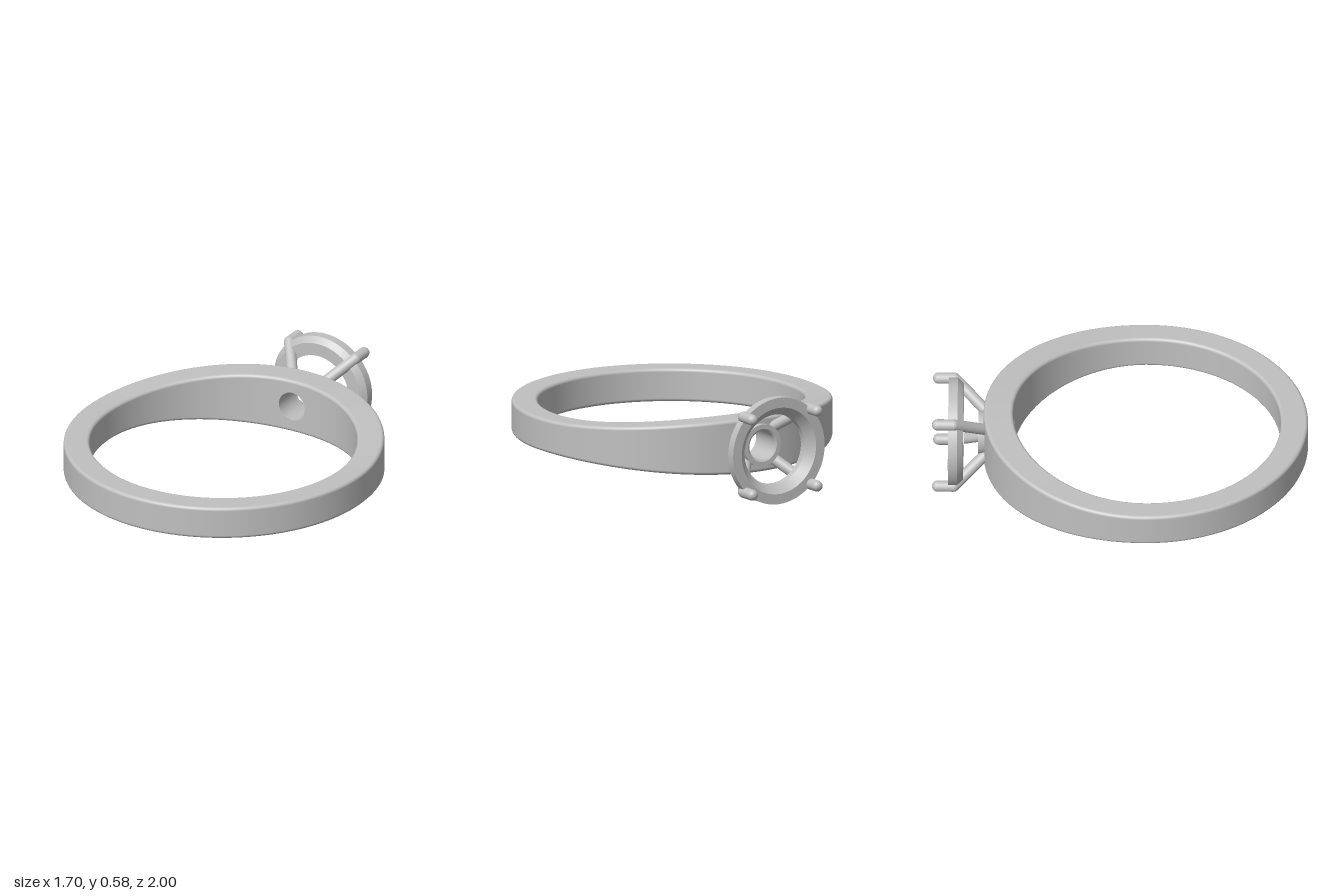
import * as THREE from 'three';
import { toCreasedNormals } from 'three/addons/utils/BufferGeometryUtils.js';
import { ParametricGeometry } from 'three/addons/geometries/ParametricGeometry.js';

const MID_Y = 0.295;     // centre height of the whole ring
const CENTRE_Z = 0.142;  // centre of the finger hole
const INNER = 0.712;     // finger hole radius
const EDGE = 0.018;      // rounding of the band edges
const HOLE = 0.08;       // hole through the band under the head
const PATCH = 0.2;       // half angle of the band piece that holds the hole

// phi is measured around the band, starting under the head (-z)
const outerRadius = (phi) => 0.85 + 0.014 * Math.cos(phi) ** 2 + 0.006 * Math.cos(phi);
const innerRadius = () => INNER;
const halfHeight = (phi) => 0.09 + 0.06 * Math.max(0, Math.cos(phi)) ** 2;
const place = (phi, r, y, target) =>
  target.set(r * Math.sin(phi), MID_Y + y, CENTRE_Z - r * Math.cos(phi));

// Rounded rectangular section: four arcs joined by straight sides, t from 0 to 1
function section(t, phi) {
  const h = halfHeight(phi) - EDGE;
  const ro = outerRadius(phi) - EDGE;
  const ri = INNER + EDGE;
  const centres = [[ro, h], [ri, h], [ri, -h], [ro, -h]];
  const k = Math.min(3, Math.floor(t * 4 + 1e-9));
  const f = (t * 4 - k) * 7;
  const corner = (i, a) => [
    centres[i % 4][0] + EDGE * Math.cos(a),
    centres[i % 4][1] + EDGE * Math.sin(a),
  ];
  const quarter = Math.PI / 2;
  if (f <= 6) return corner(k, (k + f / 6) * quarter);
  const a = corner(k, (k + 1) * quarter);
  const b = corner(k + 1, (k + 1) * quarter);
  return [a[0] + (b[0] - a[0]) * (f - 6), a[1] + (b[1] - a[1]) * (f - 6)];
}

// Sweep part of the section over part of the band
function sweep(t0, t1, phi0, phi1, slices, stacks) {
  return new ParametricGeometry((u, v, target) => {
    const phi = phi0 + (phi1 - phi0) * v;
    const [r, y] = section(t0 + (t1 - t0) * u, phi);
    place(phi, r, y, target);
  }, slices, stacks);
}

// Point on the hole's rim where it meets a wall
function rim(angle, radius) {
  const x = HOLE * Math.cos(angle);
  return [Math.asin(x / radius(0)), HOLE * Math.sin(angle)];
}

// Curved wall panel with the round hole in it
function holedWall(radius, direction) {
  return new ParametricGeometry((u, v, target) => {
    const angle = direction * u * Math.PI * 2;
    const c = Math.cos(angle), s = Math.sin(angle);
    const q = 1 / Math.max(Math.abs(c), Math.abs(s));
    const edgePhi = PATCH * c * q;
    const edgeY = (halfHeight(edgePhi) - EDGE) * s * q;
    const [phi, y] = rim(angle, radius);
    const p = phi + (edgePhi - phi) * v;
    place(p, radius(p), y + (edgeY - y) * v, target);
  }, 64, 6);
}

// Inside of the hole, from the finger side to the head side
function holeLining() {
  const a = new THREE.Vector3(), b = new THREE.Vector3();
  return new ParametricGeometry((u, v, target) => {
    const angle = u * Math.PI * 2;
    const [p0, y] = rim(angle, innerRadius);
    const [p1] = rim(angle, outerRadius);
    place(p0, INNER, y, a);
    place(p1, outerRadius(p1), y, b);
    target.lerpVectors(a, b, v);
  }, 64, 2);
}

// Turned ring about the z axis; profile holds [radius, distance towards -z]
function turned(profile) {
  const geo = new THREE.LatheGeometry(profile.map(([r, d]) => new THREE.Vector2(r, d)), 64);
  geo.rotateX(-Math.PI / 2);
  geo.translate(0, MID_Y, 0);
  return toCreasedNormals(geo, 0.5);
}

// Round-ended rod between two points
function rod(from, to, radius, material) {
  const dir = to.clone().sub(from);
  const mesh = new THREE.Mesh(new THREE.CapsuleGeometry(radius, dir.length(), 8, 20), material);
  mesh.position.copy(from).addScaledVector(dir, 0.5);
  mesh.quaternion.setFromUnitVectors(new THREE.Vector3(0, 1, 0), dir.normalize());
  return mesh;
}

export function createModel() {
  const model = new THREE.Group();
  model.name = 'ring';
  const metal = new THREE.MeshStandardMaterial({ color: 0xc0c0c0, side: THREE.DoubleSide });
  metal.name = 'silver metal';

  const add = (name, geo, parent) => {
    const mesh = new THREE.Mesh(geo, metal);
    mesh.name = name;
    parent.add(mesh);
  };

  // Band
  const band = new THREE.Group();
  band.name = 'band';
  model.add(band);
  add('bandLoop', sweep(0, 1, PATCH, Math.PI * 2 - PATCH, 28, 140), band);
  add('shoulderTop', sweep(0, 13 / 28, -PATCH, PATCH, 13, 16), band);
  add('shoulderBottom', sweep(0.5, 27 / 28, -PATCH, PATCH, 13, 16), band);
  add('shoulderOuterWall', holedWall(outerRadius, 1), band);
  add('shoulderInnerWall', holedWall(innerRadius, -1), band);
  add('holeLining', holeLining(), band);

  // Head: seat, gallery ring and four prongs
  const head = new THREE.Group();
  head.name = 'head';
  model.add(head);
  add('seat', turned([
    [HOLE, 0.715], [0.115, 0.715], [0.115, 0.755], [0.09, 0.755], [HOLE, 0.748], [HOLE, 0.715],
  ]), head);
  add('galleryRing', turned([
    [0.19, 0.835], [0.26, 0.835], [0.29, 0.865], [0.29, 0.914],
    [0.235, 0.914], [0.19, 0.87], [0.19, 0.835],
  ]), head);

  for (const sx of [-1, 1]) {
    for (const sy of [-1, 1]) {
      const at = (offset, z) => new THREE.Vector3(sx * offset, MID_Y + sy * offset, z);
      const prong = new THREE.Group();
      prong.name = (sy > 0 ? 'upper' : 'lower') + (sx > 0 ? 'Left' : 'Right') + 'Prong';
      const leg = rod(at(0.09, -0.725), at(0.205, -0.885), 0.03, metal);
      leg.name = 'prongLeg';
      const claw = rod(at(0.205, -0.885), at(0.205, -0.97), 0.03, metal);
      claw.name = 'prongClaw';
      prong.add(leg, claw);
      head.add(prong);
    }
  }
  return model;
}
